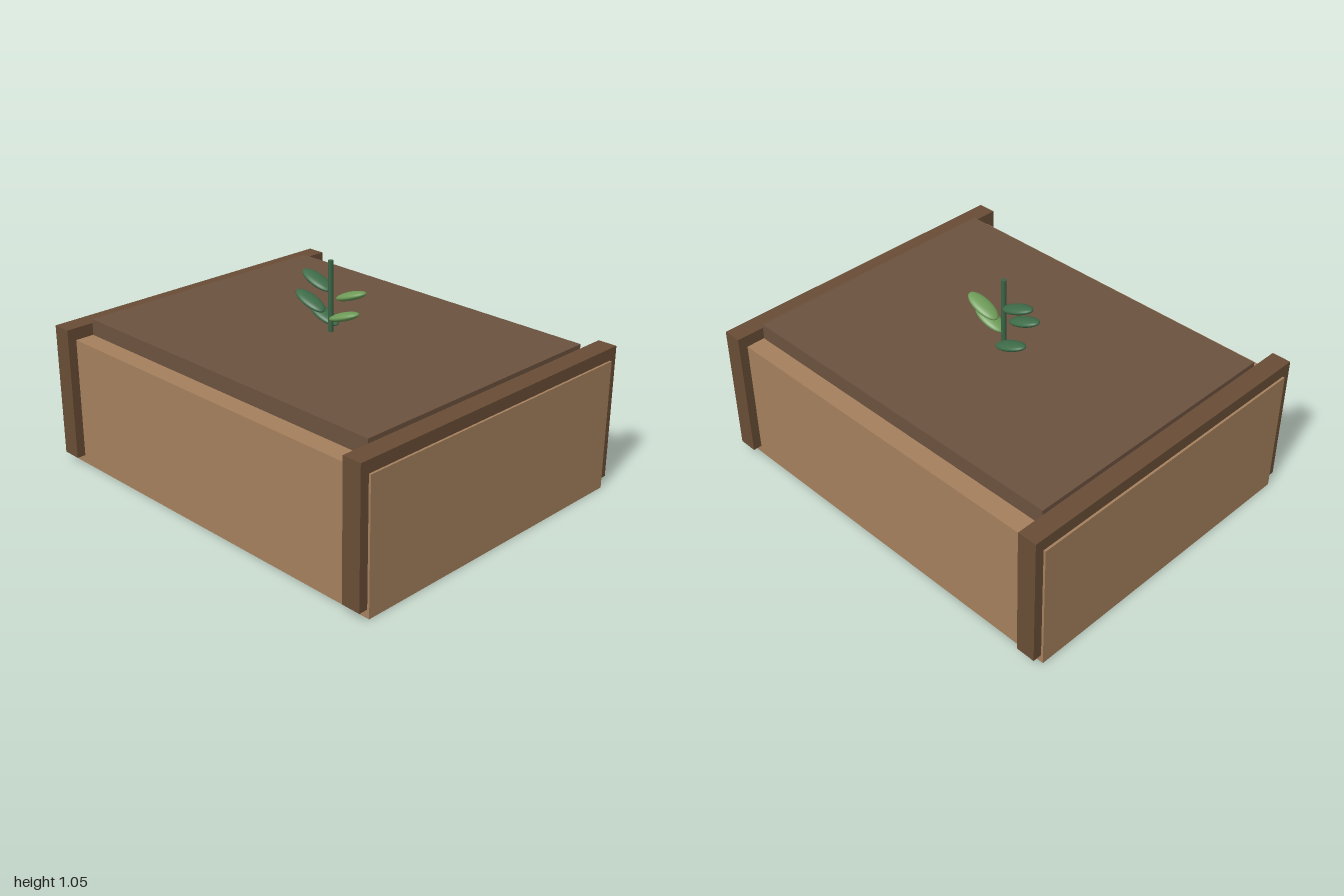
import * as THREE from 'three';

const material = (color) => new THREE.MeshStandardMaterial({ color });

export function createModel() {
  const model = new THREE.Group();
  model.name = 'planter';

  const wood = material(0xa5805d);
  const darkWood = material(0x694d35);
  const earth = material(0x6c523f);
  const stemGreen = material(0x3a6446);
  const darkLeaf = material(0x3f6d4a);
  const lightLeaf = material(0x6f9c59);

  const add = (name, geometry, mat, x, y, z, parent = model) => {
    const mesh = new THREE.Mesh(geometry, mat);
    mesh.name = name;
    mesh.position.set(x, y, z);
    parent.add(mesh);
    return mesh;
  };

  // Wooden trough and the soil standing slightly proud of it
  add('trough', new THREE.BoxGeometry(2, 0.636, 1.554), wood, 0, 0.318, 0);
  add('soil', new THREE.BoxGeometry(1.784, 0.115, 1.364), earth, 0, 0.6575, 0);

  // Dark frames near both ends, wider and taller than the trough
  for (const side of [1, -1]) {
    add(side > 0 ? 'leftEndFrame' : 'rightEndFrame',
      new THREE.BoxGeometry(0.095, 0.655, 1.642), darkWood, side * 0.9415, 0.3675, 0);
  }

  // Seedling: a stem with flat oval leaves rising outward on alternate sides
  const seedling = new THREE.Group();
  seedling.name = 'seedling';
  model.add(seedling);
  add('stem', new THREE.CylinderGeometry(0.0125, 0.0125, 0.355, 12), stemGreen, 0, 0.8775, 0, seedling);

  const leafGeometry = new THREE.SphereGeometry(1, 24, 16).scale(0.092, 0.02, 0.044);
  for (let i = 0; i < 5; i++) {
    const side = i % 2 ? 1 : -1;
    const z = ((i % 3) - 1) * 0.043;
    const leaf = add('leaf' + (i + 1), leafGeometry, side > 0 ? lightLeaf : darkLeaf,
      side * 0.0865, 0.765 + i * 0.044, z, seedling);
    leaf.rotation.z = side * 0.35;
  }

  return model;
}
